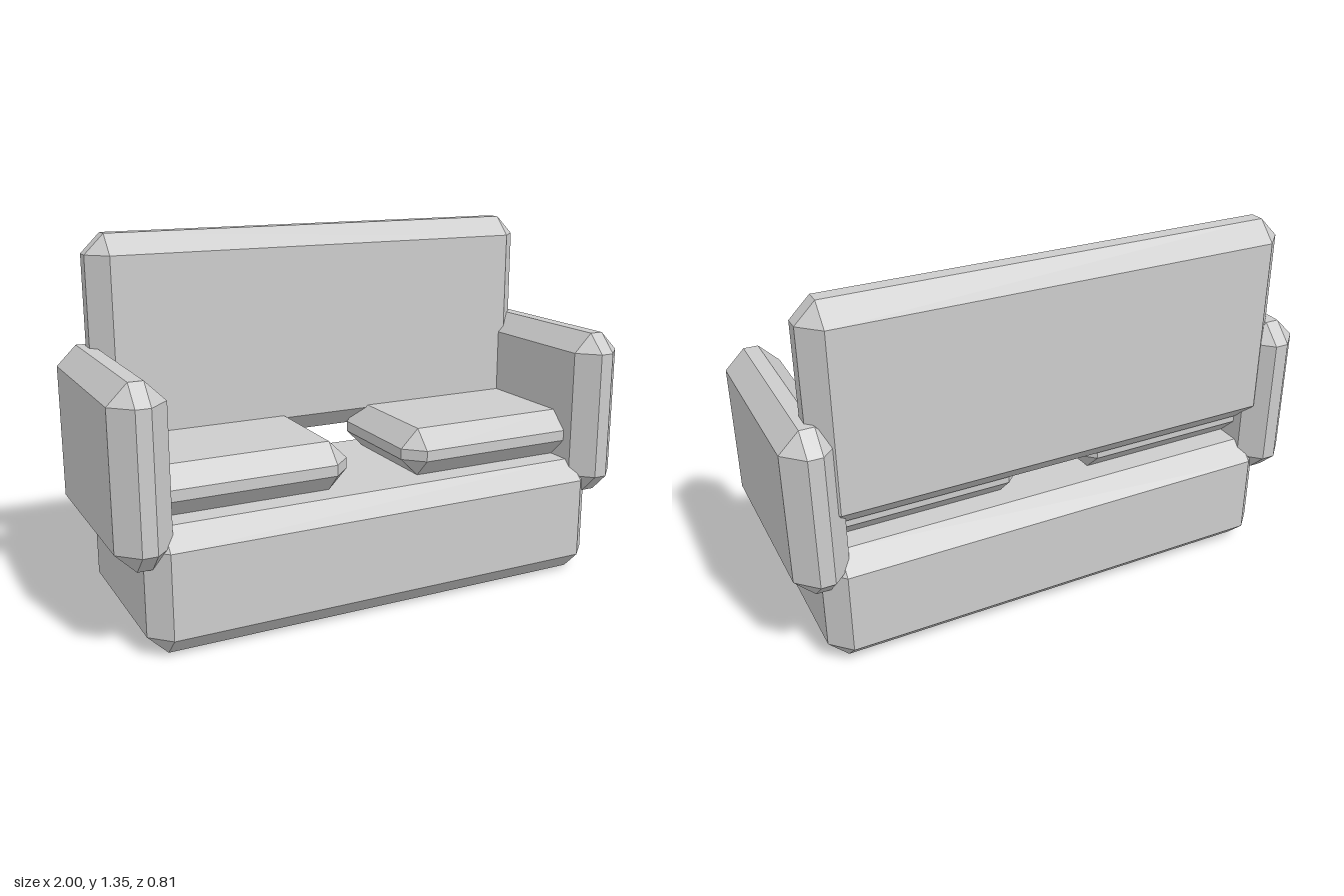
import * as THREE from 'three';
import { ConvexGeometry } from 'three/addons/geometries/ConvexGeometry.js';

// Box with flat 45 degree bevels and triangular corners
function bevelledBox(w, h, d, bevel) {
  const half = [w / 2, h / 2, d / 2];
  const points = [];
  for (const sx of [-1, 1]) for (const sy of [-1, 1]) for (const sz of [-1, 1]) {
    // one point per adjoining face, inset on the other two axes
    for (let face = 0; face < 3; face++) {
      const [x, y, z] = half.map((s, axis) => (axis === face ? s : s - bevel));
      points.push(new THREE.Vector3(sx * x, sy * y, sz * z));
    }
  }
  return new ConvexGeometry(points);
}

export function createModel() {
  const sofa = new THREE.Group();
  sofa.name = 'sofa';

  const upholstery = new THREE.MeshStandardMaterial({ color: 0xcccccc });
  upholstery.name = 'grey upholstery';

  const add = (name, size, position, bevel) => {
    const mesh = new THREE.Mesh(bevelledBox(...size, bevel), upholstery);
    mesh.name = name;
    mesh.position.set(...position);
    sofa.add(mesh);
  };

  // Base and floating backrest
  add('base', [1.8, 0.45, 0.76], [0, 0.225, 0], 0.072);
  add('backrest', [1.8, 0.8, 0.198], [0, 0.95, -0.271], 0.072);

  // Mirrored armrests and seat cushions
  for (const [side, s] of [['left', 1], ['right', -1]]) {
    add(`${side}Armrest`, [0.196, 0.63, 0.81], [s * 0.902, 0.633, 0], 0.072);
    add(`${side}Cushion`, [0.79, 0.18, 0.58], [s * 0.508, 0.541, 0], 0.07);
  }

  return sofa;
}
